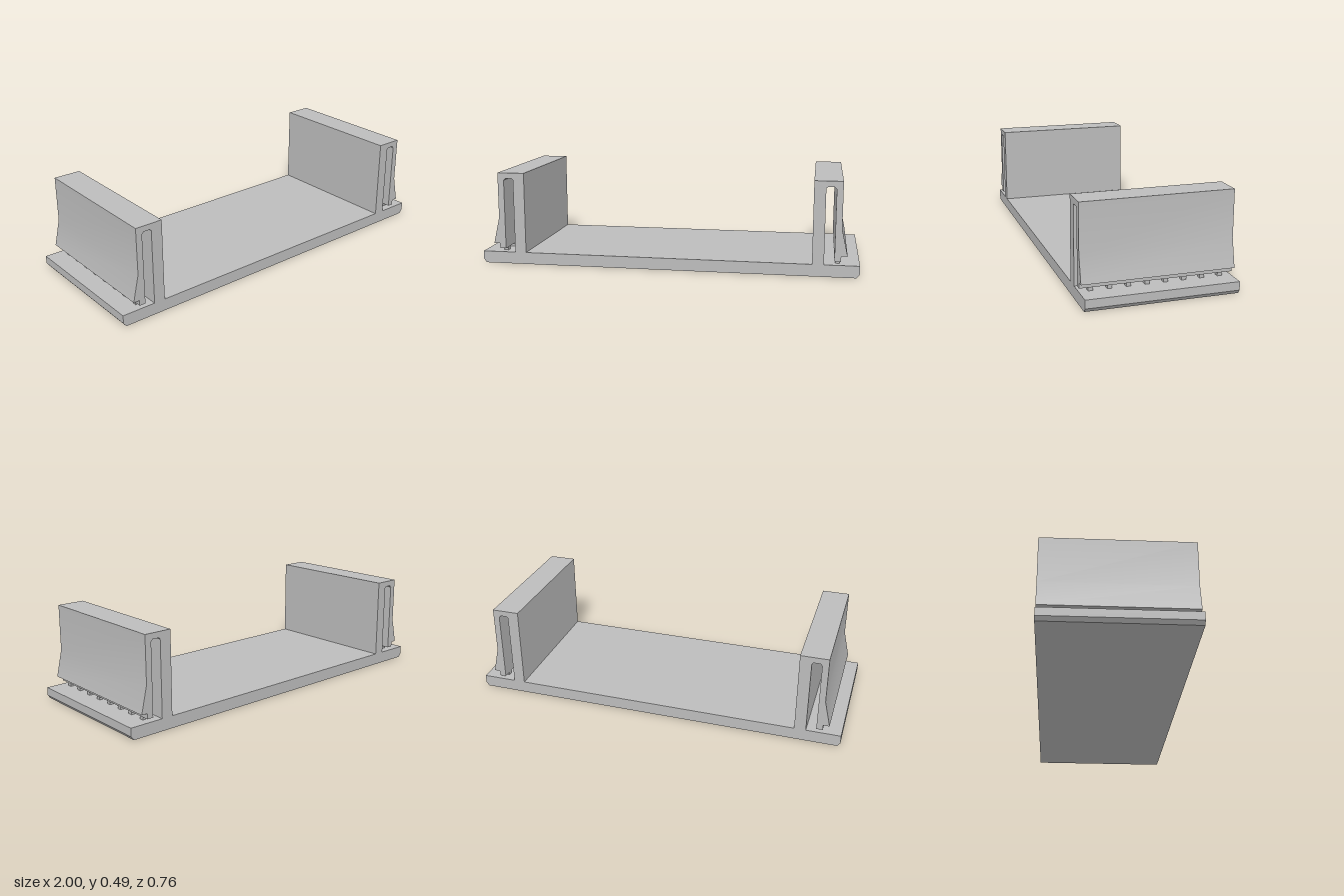
import * as THREE from 'three';
import { toCreasedNormals } from 'three/addons/utils/BufferGeometryUtils.js';

const DEPTH = 0.764;
const BASE_TOP = 0.063;

// Extrude an x-y profile along z, centred; gentle bends stay smooth
function extrudeProfile(points, name, material) {
  const shape = new THREE.Shape(points.map(([x, y]) => new THREE.Vector2(x, y)));
  const geometry = new THREE.ExtrudeGeometry(shape, { depth: DEPTH, bevelEnabled: false });
  geometry.translate(0, 0, -DEPTH / 2);
  const mesh = new THREE.Mesh(toCreasedNormals(geometry, 0.4), material);
  mesh.name = name;
  return mesh;
}

export function createModel() {
  const model = new THREE.Group();
  model.name = 'clipBracket';
  const grey = new THREE.MeshStandardMaterial({ color: 0xbcbcbc });
  grey.name = 'plainGrey';

  // Base plate with chamfered lower side edges
  model.add(extrudeProfile([
    [-0.985, 0], [0.985, 0], [1, 0.02], [1, BASE_TOP], [-1, BASE_TOP], [-1, 0.02],
  ], 'basePlate', grey));

  // Hooked clip: upright post, top bridge and flared outer arm
  const clipProfile = [
    [0.76, BASE_TOP], [0.82, BASE_TOP], [0.82, 0.455], [0.828, 0.463],
    [0.862, 0.463], [0.872, 0.453], [0.872, 0.082], [0.905, 0.082],
    [0.905, 0.11], [0.937, 0.11], [0.905, 0.25], [0.905, 0.493], [0.76, 0.493],
  ];

  for (const side of [1, -1]) {
    const clip = new THREE.Group();
    clip.name = side > 0 ? 'leftClip' : 'rightClip';
    clip.add(extrudeProfile(clipProfile.map(([x, y]) => [x * side, y]), 'clipWall', grey));

    // Row of small tabs joining the arm to the base
    for (let i = 0; i < 8; i++) {
      const tab = new THREE.Mesh(new THREE.BoxGeometry(0.024, 0.019, 0.024), grey);
      tab.name = 'supportTab';
      tab.position.set(side * 0.887, BASE_TOP + 0.0095, 0.325 - i * 0.0926);
      clip.add(tab);
    }
    model.add(clip);
  }
  return model;
}
